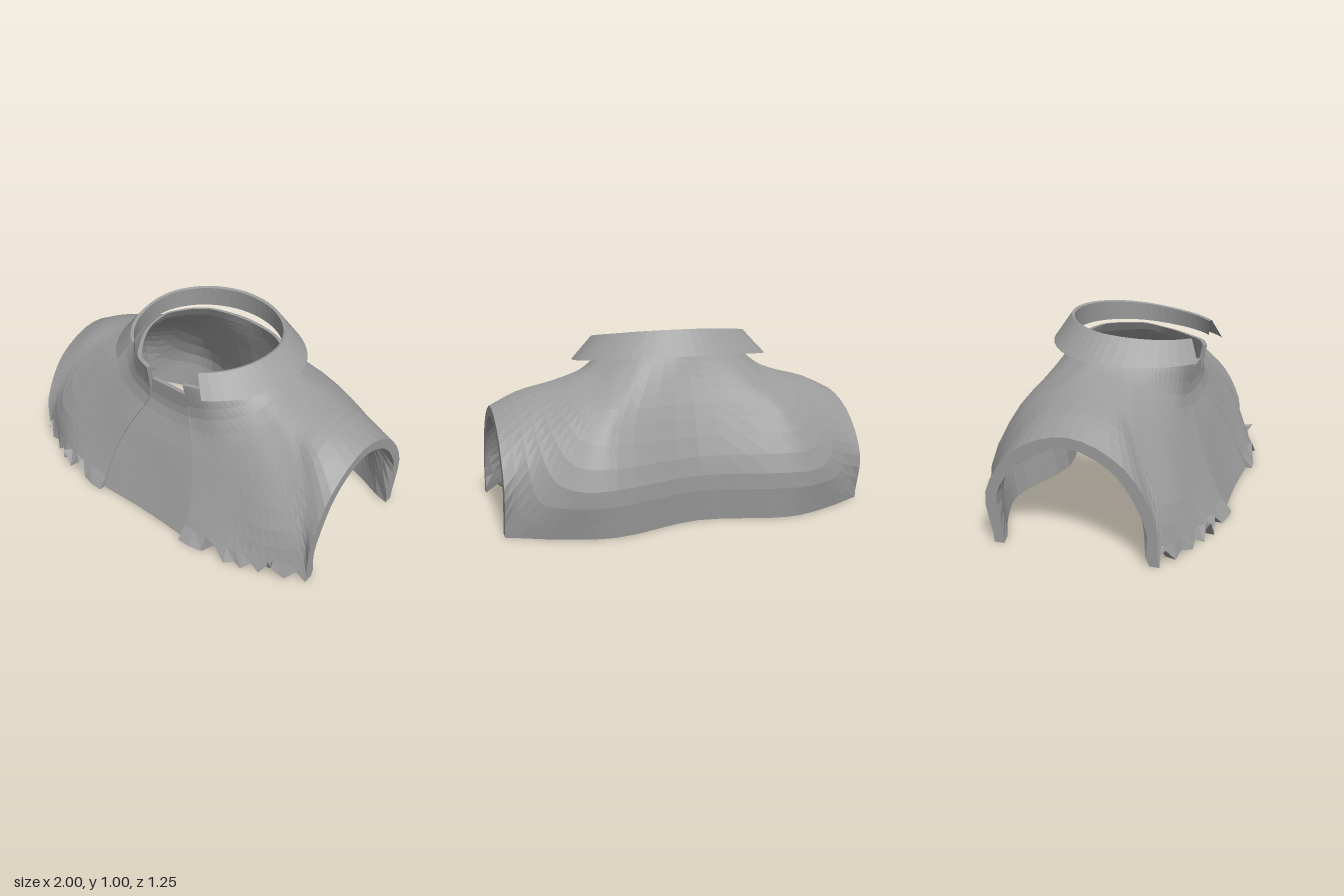
import * as THREE from 'three';

const cloth = new THREE.MeshStandardMaterial({ color: 0x9c9c9c, flatShading: true, side: THREE.DoubleSide });
cloth.name = 'grey cloth';

// Profiles from neck to edge, five points each: front seam, front hem, then the arm arch
const frontProfiles = [
  [.13, .79, .365, .15, .58, .335, .24, .4, .41, .3, .2, .5, .31, 0, .6],
  [.25, .79, .315, .3, .62, .31, .45, .44, .37, .55, .22, .47, .6, 0, .585],
  [.33, .795, .22, .42, .66, .24, .6, .5, .31, .74, .23, .45, .78, 0, .52],
  [.375, .8, .15, .48, .69, .18, .69, .55, .245, .87, .27, .395, 1, 0, .42],
  [.405, .805, .09, .5, .72, .13, .71, .61, .185, .87, .44, .29, 1, .22, .4],
  [.425, .81, .03, .5, .745, .07, .68, .67, .11, .85, .6, .17, 1, .47, .25],
  [.43, .82, -.03, .5, .765, -.03, .66, .71, -.03, .85, .66, -.02, 1, .59, -.02],
];
// Rear half of the arch, back hem and centre back
const backProfiles = [
  [.42, .83, -.1, .5, .765, -.14, .66, .69, -.2, .83, .61, -.25, 1, .5, -.29],
  [.38, .835, -.17, .47, .74, -.24, .62, .62, -.37, .82, .46, -.42, 1, .26, -.46],
  [.33, .84, -.23, .42, .73, -.31, .55, .56, -.47, .76, .29, -.54, 1, 0, -.425],
  [.28, .845, -.265, .36, .73, -.345, .48, .55, -.5, .64, .25, -.61, .75, 0, -.54],
  [.22, .85, -.29, .3, .73, -.37, .42, .54, -.5, .48, .25, -.63, .48, 0, -.61],
  [0, .855, -.32, 0, .74, -.36, 0, .54, -.44, 0, .25, -.52, 0, 0, -.5],
];

const toPoints = (a) => [0, 1, 2, 3, 4].map((k) => new THREE.Vector3(a[3 * k], a[3 * k + 1], a[3 * k + 2]));
const mirror = (p) => p.map((v) => new THREE.Vector3(-v.x, v.y, v.z));
const spline = (pts, n) => new THREE.CatmullRomCurve3(pts, false, 'centripetal').getPoints(n);

function makeMesh(name, positions, index) {
  const g = new THREE.BufferGeometry();
  g.setAttribute('position', new THREE.Float32BufferAttribute(positions.flatMap((p) => [p.x, p.y, p.z]), 3));
  g.setIndex(index);
  g.computeVertexNormals();
  const m = new THREE.Mesh(g, cloth);
  m.name = name;
  return m;
}

// Smooth grid through the profiles: columns run from neck to edge
function makeGrid(profiles, sub) {
  const rings = [0, 1, 2, 3, 4].map((k) => spline(profiles.map((p) => p[k]), (profiles.length - 1) * sub));
  return rings[0].map((_, i) => spline(rings.map((r) => r[i]), 12).map((p) => {
    p.x = THREE.MathUtils.clamp(p.x, -1, 1);
    p.y = Math.max(p.y, 0);
    return p;
  }));
}

// Thick cloth with outer face, lining and rims
function makeShell(name, grid) {
  const nu = grid.length, nv = grid[0].length, count = nu * nv;
  const outer = grid.flat(), inner = [], index = [];
  const at = (i, j) => grid[THREE.MathUtils.clamp(i, 0, nu - 1)][THREE.MathUtils.clamp(j, 0, nv - 1)];
  for (let i = 0; i < nu; i++) for (let j = 0; j < nv; j++) {
    const p = at(i, j);
    const du = at(i + 1, j).clone().sub(at(i - 1, j));
    const dv = at(i, j + 1).clone().sub(at(i, j - 1));
    const q = p.clone().addScaledVector(dv.cross(du).normalize(), -THREE.MathUtils.lerp(.025, .06, j / (nv - 1)));
    if (j === nv - 1) {
      if (Math.abs(p.x) > .99) q.x = p.x;
      if (p.y < .12) q.y = p.y;
    }
    if (j === 0) q.y = p.y;
    q.y = Math.max(q.y, 0);
    inner.push(q);
  }
  const id = (i, j) => i * nv + j;
  const quad = (a, b, c, d) => index.push(a, b, c, a, c, d);
  const rim = (a, b) => quad(a, b, b + count, a + count);
  for (let i = 0; i < nu - 1; i++) {
    for (let j = 0; j < nv - 1; j++) {
      const a = id(i, j), b = id(i + 1, j), c = id(i, j + 1), d = id(i + 1, j + 1);
      quad(a, c, d, b);
      quad(a + count, b + count, d + count, c + count);
    }
    rim(id(i, 0), id(i + 1, 0));
    rim(id(i + 1, nv - 1), id(i, nv - 1));
  }
  for (let j = 0; j < nv - 1; j++) {
    rim(id(0, j + 1), id(0, j));
    rim(id(nu - 1, j), id(nu - 1, j + 1));
  }
  return makeMesh(name, [...outer, ...inner], index);
}

// Folded collar: outer slope, top rim and inner wall swept around the back, open at the front
function makeCollar() {
  const section = [ // half width, front depth, back depth, centre z, height, slope
    [.55, .555, .395, -.05, .815, -.076],
    [.43, .46, .335, -.02, .943, -.12],
    [.415, .44, .32, -.02, .938, -.12],
    [.42, .445, .325, -.02, .84, -.076],
  ];
  const n = 48, pts = [], index = [];
  for (let i = 0; i <= n; i++) {
    const t = .58 + (Math.PI * 2 - 1.16) * i / n, c = Math.cos(t);
    for (const [a, front, back, cz, y, slope] of section) {
      const z = cz + (c > 0 ? front : back) * c;
      pts.push(new THREE.Vector3(a * Math.sin(t), y + slope * z + .08 * z * z, z));
    }
  }
  for (let i = 0; i < n; i++) for (let k = 0; k < 3; k++) {
    const a = i * 4 + k, b = a + 1;
    index.push(a, a + 4, b + 4, a, b + 4, b);
  }
  return makeMesh('collar', pts, index);
}

export function createModel() {
  const group = new THREE.Group();
  group.name = 'shoulder cape';

  // Body wraps from one front seam around the back to the other
  const half = [...frontProfiles, ...backProfiles].map(toPoints);
  const body = makeGrid([...half, ...half.slice(0, -1).reverse().map(mirror)], 4);
  // Unevenly frayed front hem, flared beside the seams
  body.forEach((column, i) => {
    const p = column[column.length - 1], x = Math.abs(p.x);
    if (p.z < .3 || p.y > .02) return;
    if (x > .42 && x < .98) {
      p.y += i % 2 ? .05 + .04 * Math.sin(i * 2.3) : 0;
      p.z += i % 2 ? -.015 : .005;
    } else if (x < .42) p.z += .02;
  });
  group.add(makeShell('cape body', body));

  // Front panel, set just inside the seams
  const side = toPoints(frontProfiles[0]);
  side[0].set(.13, .71, .335);
  side.forEach((p) => { p.x -= .007; });
  side[4].z = .585;
  const middle = toPoints([0, .71, .335, 0, .57, .335, 0, .4, .41, 0, .2, .49, 0, 0, .575]);
  group.add(makeShell('front panel', makeGrid([mirror(side), middle, side], 4)));

  group.add(makeCollar());
  return group;
}
